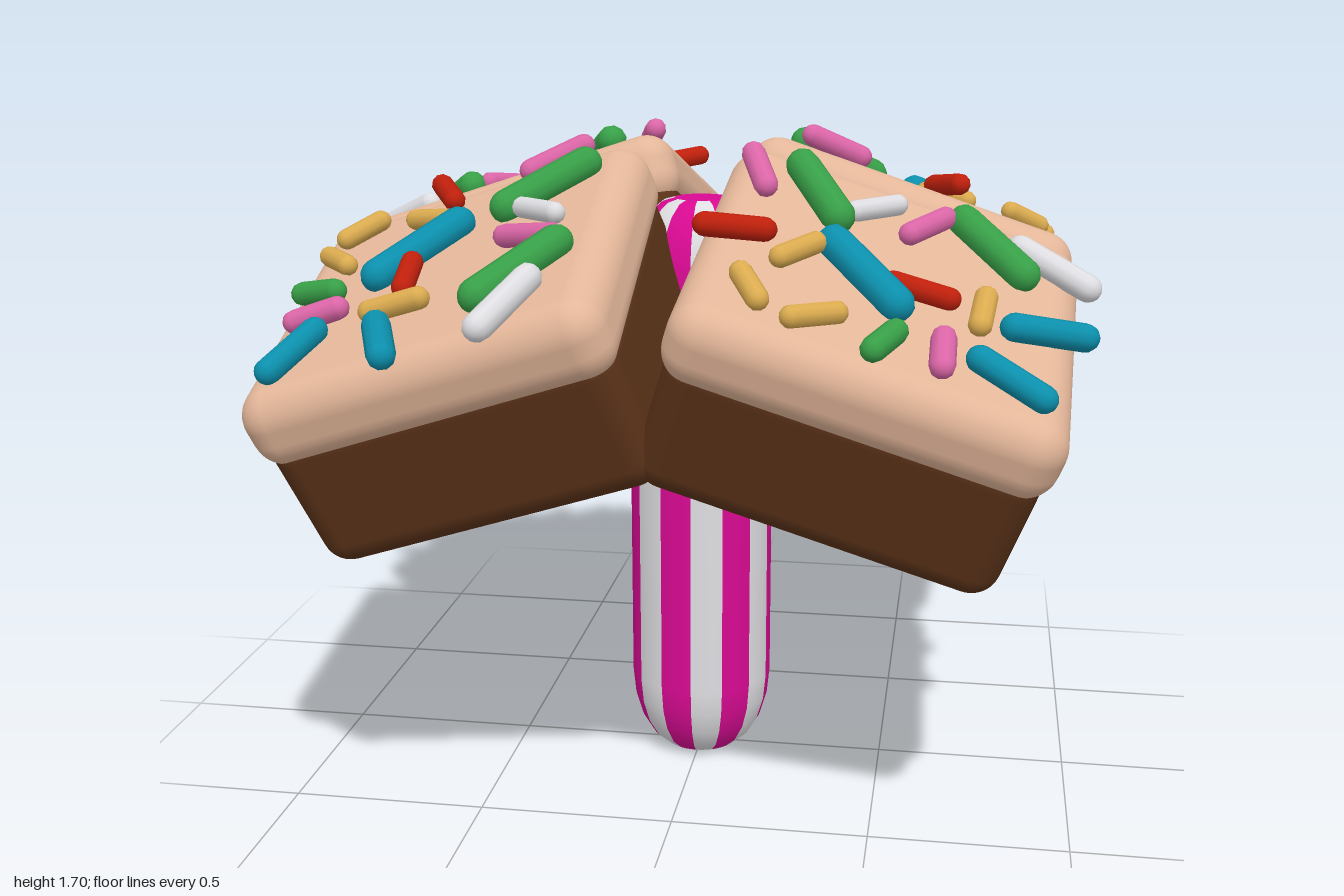
import * as THREE from 'three';
import { RoundedBoxGeometry } from 'three/addons/geometries/RoundedBoxGeometry.js';

const mat = (name, color) => {
  const m = new THREE.MeshStandardMaterial({ color });
  m.name = name;
  return m;
};

const TILT = 0.454;                                  // lean of each cake, outward along its diagonal
const CENTRE = new THREE.Vector3(0.502, 1.34, 0.502); // middle of the icing slab
const ICING = 0.2;

// sprinkles of one cake, seen from above: colour, radius, x1, z1, x2, z2
const SPRINKLES = [
  ['teal', 0.031, 0.886, 0.859, 0.699, 0.774],
  ['pink', 0.029, 0.646, 0.891, 0.646, 0.731],
  ['green', 0.029, 0.555, 0.774, 0.491, 0.923],
  ['yellow', 0.026, 0.438, 0.795, 0.309, 0.907],
  ['yellow', 0.026, 0.267, 0.891, 0.197, 0.774],
  ['teal', 0.033, 0.987, 0.535, 0.768, 0.624],
  ['yellow', 0.028, 0.736, 0.507, 0.720, 0.678],
  ['red', 0.027, 0.678, 0.592, 0.502, 0.614],
  ['teal', 0.041, 0.565, 0.720, 0.364, 0.508],
  ['yellow', 0.026, 0.363, 0.544, 0.267, 0.699],
  ['red', 0.028, 0.261, 0.577, 0.085, 0.672],
  ['white', 0.033, 0.998, 0.340, 0.784, 0.245],
  ['green', 0.041, 0.843, 0.400, 0.652, 0.198],
  ['pink', 0.028, 0.646, 0.219, 0.539, 0.400],
  ['white', 0.026, 0.534, 0.246, 0.406, 0.384],
  ['green', 0.041, 0.405, 0.448, 0.267, 0.209],
  ['pink', 0.029, 0.224, 0.421, 0.160, 0.246],
];

export function createModel() {
  const model = new THREE.Group();
  model.name = 'cakePop';
  const mats = {
    icing: mat('icing', 0xe3b699),
    chocolate: mat('chocolate', 0x5c3319),
    magenta: mat('magenta', 0xd80a92),
    white: mat('white', 0xdedee2),
    teal: mat('teal', 0x0c90ad),
    green: mat('green', 0x38a048),
    pink: mat('pink', 0xdc66a8),
    red: mat('red', 0xc0200c),
    yellow: mat('yellow', 0xdcac50),
  };
  const add = (parent, name, geometry, material) => {
    const mesh = new THREE.Mesh(geometry, material);
    mesh.name = name;
    parent.add(mesh);
    return mesh;
  };

  // striped stick: fourteen wedges plus a plain cap at each end
  const stick = new THREE.Group();
  stick.name = 'stick';
  model.add(stick);
  const TOP = 1.53;
  const end = [[0.07, 0.002], [0.1, 0.01], [0.135, 0.04], [0.165, 0.09], [0.183, 0.15], [0.19, 0.22]];
  const profile = [...end, ...end.map(([r, y]) => [r, TOP - y]).reverse()]
    .map(([r, y]) => new THREE.Vector2(r, y));
  const STRIPES = 14;
  const step = (Math.PI * 2) / STRIPES;
  for (let i = 0; i < STRIPES; i++) {
    add(stick, 'stickStripe', new THREE.LatheGeometry(profile, 3, i * step, step), i % 2 ? mats.magenta : mats.white);
  }
  const cap = (points) => new THREE.LatheGeometry(points.map(([r, y]) => new THREE.Vector2(r, y)), STRIPES * 3);
  add(stick, 'stickBottomCap', cap([[0, 0], [0.07, 0.002]]), mats.magenta);
  add(stick, 'stickTopCap', cap([[0.07, TOP - 0.002], [0, TOP]]), mats.magenta);

  // shared cake geometry
  const icingGeo = new RoundedBoxGeometry(0.895, ICING, 0.895, 5, 0.08);
  const baseGeo = new RoundedBoxGeometry(0.86, 0.38, 0.86, 5, 0.07);
  const lean = new THREE.Quaternion().setFromAxisAngle(new THREE.Vector3(1, 0, -1).normalize(), TILT);
  const normal = new THREE.Vector3(0, 1, 0).applyQuaternion(lean);

  // lifts a point seen from above onto the tilted icing
  const onIcing = (x, z) => {
    const rise = ICING / 2 + 0.025 - normal.x * (x - CENTRE.x) - normal.z * (z - CENTRE.z);
    return new THREE.Vector3(x, CENTRE.y + rise / normal.y, z);
  };

  // four identical cakes around the stick
  for (let k = 0; k < 4; k++) {
    const cake = new THREE.Group();
    cake.name = 'cake';
    cake.rotation.y = (k * Math.PI) / 2;
    model.add(cake);

    const block = new THREE.Group();
    block.name = 'cakeBlock';
    block.position.copy(CENTRE);
    block.quaternion.copy(lean);
    cake.add(block);
    add(block, 'icing', icingGeo, mats.icing);
    add(block, 'chocolateBase', baseGeo, mats.chocolate).position.y = -0.205;

    for (const [colour, r, x1, z1, x2, z2] of SPRINKLES) {
      const a = onIcing(x1, z1);
      const b = onIcing(x2, z2);
      const dir = b.clone().sub(a);
      const geo = new THREE.CapsuleGeometry(r, dir.length() - 2 * r, 4, 10);
      const sprinkle = add(cake, colour + 'Sprinkle', geo, mats[colour]);
      sprinkle.position.copy(a).add(b).multiplyScalar(0.5);
      sprinkle.quaternion.setFromUnitVectors(new THREE.Vector3(0, 1, 0), dir.normalize());
    }
  }
  return model;
}
